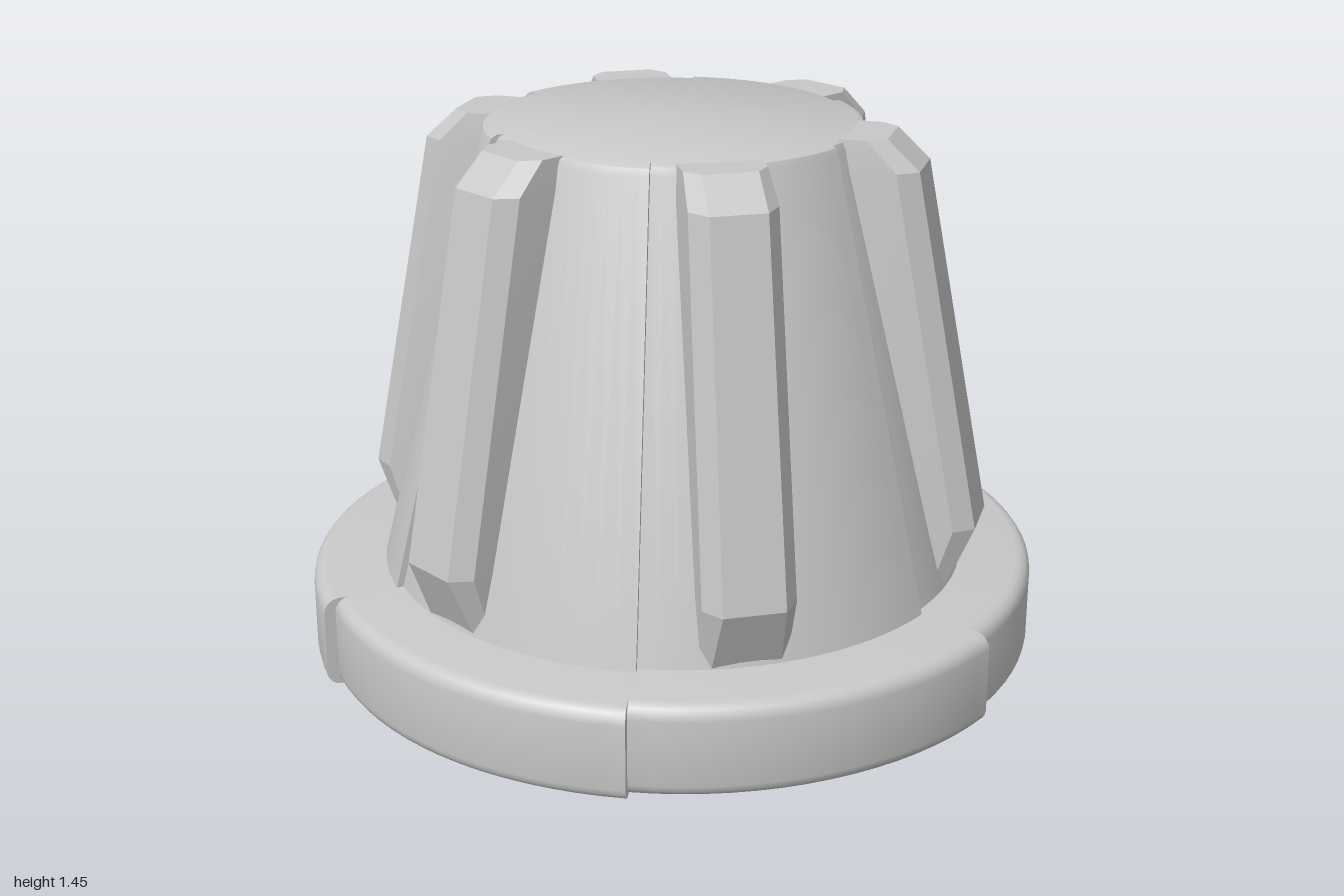
import * as THREE from 'three';
import { toCreasedNormals } from 'three/addons/utils/BufferGeometryUtils.js';

const COUNT = 6;
const STEP = Math.PI / 3;

// Solid through a list of equal-length rings, each counter-clockwise about the direction of travel.
function loft(rings, crease) {
  const n = rings[0].length, last = rings.length - 1, index = [];
  for (let j = 0; j < last; j++) {
    for (let i = 0; i < n; i++) {
      const k = (i + 1) % n;
      const a = j * n + i, b = j * n + k, c = b + n, d = a + n;
      index.push(a, b, c, a, c, d);
    }
  }
  for (let i = 1; i < n - 1; i++) {
    index.push(0, i + 1, i);
    index.push(last * n, last * n + i, last * n + i + 1);
  }
  const geometry = new THREE.BufferGeometry();
  geometry.setAttribute('position', new THREE.Float32BufferAttribute(rings.flat(2), 3));
  geometry.setIndex(index);
  return toCreasedNormals(geometry, crease);
}

// One sixth of a turned body; its radius shrinks by `drop` along the sweep, leaving a step.
function sector(profile, drop) {
  const rings = [], segments = 16;
  for (let j = 0; j <= segments; j++) {
    const t = j / segments, angle = t * STEP;
    rings.push(profile.map(([r, y]) => {
      const radius = r > 0 ? r - drop * t : 0;
      return [radius * Math.cos(angle), y, radius * Math.sin(angle)];
    }));
  }
  return loft(rings, 0.6);
}

// Points of a rounded corner running from angle `from` to `from` + 90 degrees
function corner(cx, cy, radius, from) {
  return [0, 1, 2, 3, 4].map((i) => {
    const a = from + (i * Math.PI) / 8;
    return [cx + radius * Math.cos(a), cy + radius * Math.sin(a)];
  });
}

// Grip rib with chamfered edges and bevelled ends, pointing along +x
function ribGeometry() {
  // height, inner radius, outer radius, half width, chamfer
  const levels = [
    [0.24, 0.62, 0.775, 0.115, 0.025],
    [0.42, 0.6, 0.85, 0.12, 0.04],
    [1.37, 0.42, 0.665, 0.112, 0.04],
    [1.449, 0.4, 0.58, 0.105, 0.035],
  ];
  return loft(levels.map(([y, inner, outer, w, c]) => [
    [inner, y, w], [outer - c * 1.3, y, w], [outer, y, w - c],
    [outer, y, c - w], [outer - c * 1.3, y, -w], [inner, y, -w],
  ]), 0.3);
}

export function createModel() {
  const model = new THREE.Group();
  model.name = 'ribbedKnob';
  const grey = new THREE.MeshStandardMaterial({ color: 0xc8c8c8 });
  grey.name = 'light grey';

  const flange = sector([
    [0, 0], ...corner(0.965, 0.035, 0.035, -Math.PI / 2),
    ...corner(0.96, 0.21, 0.04, 0), [0, 0.25],
  ], 0.03);
  const body = sector([
    [0, 0.2], [0.812, 0.2], [0.8, 0.25], [0.508, 1.425],
    [0.5, 1.442], [0.485, 1.45], [0, 1.45],
  ], 0.018);
  const rib = ribGeometry();

  // Six repeats of flange sector, body sector and rib
  const add = (geometry, name, angle) => {
    const mesh = new THREE.Mesh(geometry, grey);
    mesh.name = name;
    mesh.rotation.y = angle;
    model.add(mesh);
  };
  for (let i = 0; i < COUNT; i++) {
    add(flange, 'flangeSector', i * STEP);
    add(body, 'bodySector', i * STEP);
    add(rib, 'gripRib', i * STEP + Math.PI / 9);
  }
  return model;
}
